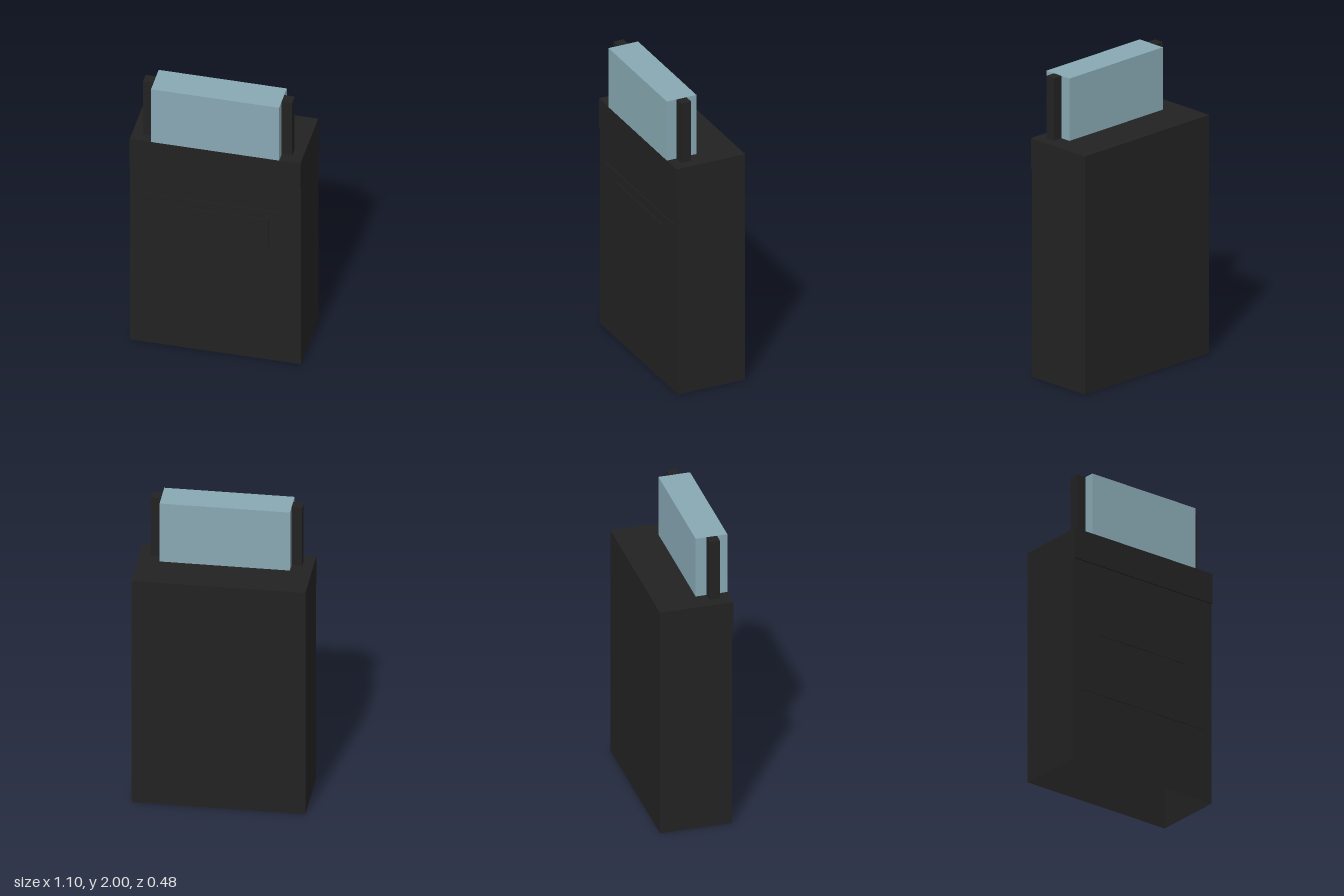
import * as THREE from 'three';

const casing = new THREE.MeshStandardMaterial({ color: 0x222222, side: THREE.DoubleSide });
casing.name = 'charcoal casing';
const glass = new THREE.MeshStandardMaterial({ color: 0x88a8b3 });
glass.name = 'pale blue';

// Box given by its lower and upper corners
function block(name, material, [x0, y0, z0], [x1, y1, z1]) {
  const geometry = new THREE.BoxGeometry(x1 - x0, y1 - y0, z1 - z0);
  geometry.translate((x0 + x1) / 2, (y0 + y1) / 2, (z0 + z1) / 2);
  const mesh = new THREE.Mesh(geometry, material);
  mesh.name = name;
  return mesh;
}

export function createModel() {
  const model = new THREE.Group();
  model.name = 'cabinet';

  // Hollow body, open underneath: drop the bottom face of the box
  const body = block('body', casing, [-0.55, 0, -0.24], [0.55, 1.585, 0.23]);
  const index = Array.from(body.geometry.index.array);
  index.splice(18, 6);
  body.geometry.setIndex(index);
  body.geometry.clearGroups();
  model.add(body);

  // Raised band and stepped panels on the front
  model.add(block('frontBand', casing, [-0.55, 1.38, 0.23], [0.55, 1.585, 0.24]));
  model.add(block('frontPanel', casing, [-0.485, 0.49, 0.23], [0.485, 1.172, 0.235]));
  model.add(block('innerPanel', casing, [-0.345, 0.9, 0.235], [0.345, 1.105, 0.24]));

  // Upright slab on top, held between two posts
  model.add(block('topSlab', glass, [-0.413, 1.585, 0.033], [0.413, 2, 0.24]));
  for (const [name, x] of [['leftPost', 0.4465], ['rightPost', -0.4465]]) {
    model.add(block(name, casing, [x - 0.0335, 1.585, 0.103], [x + 0.0335, 2, 0.172]));
  }

  return model;
}
